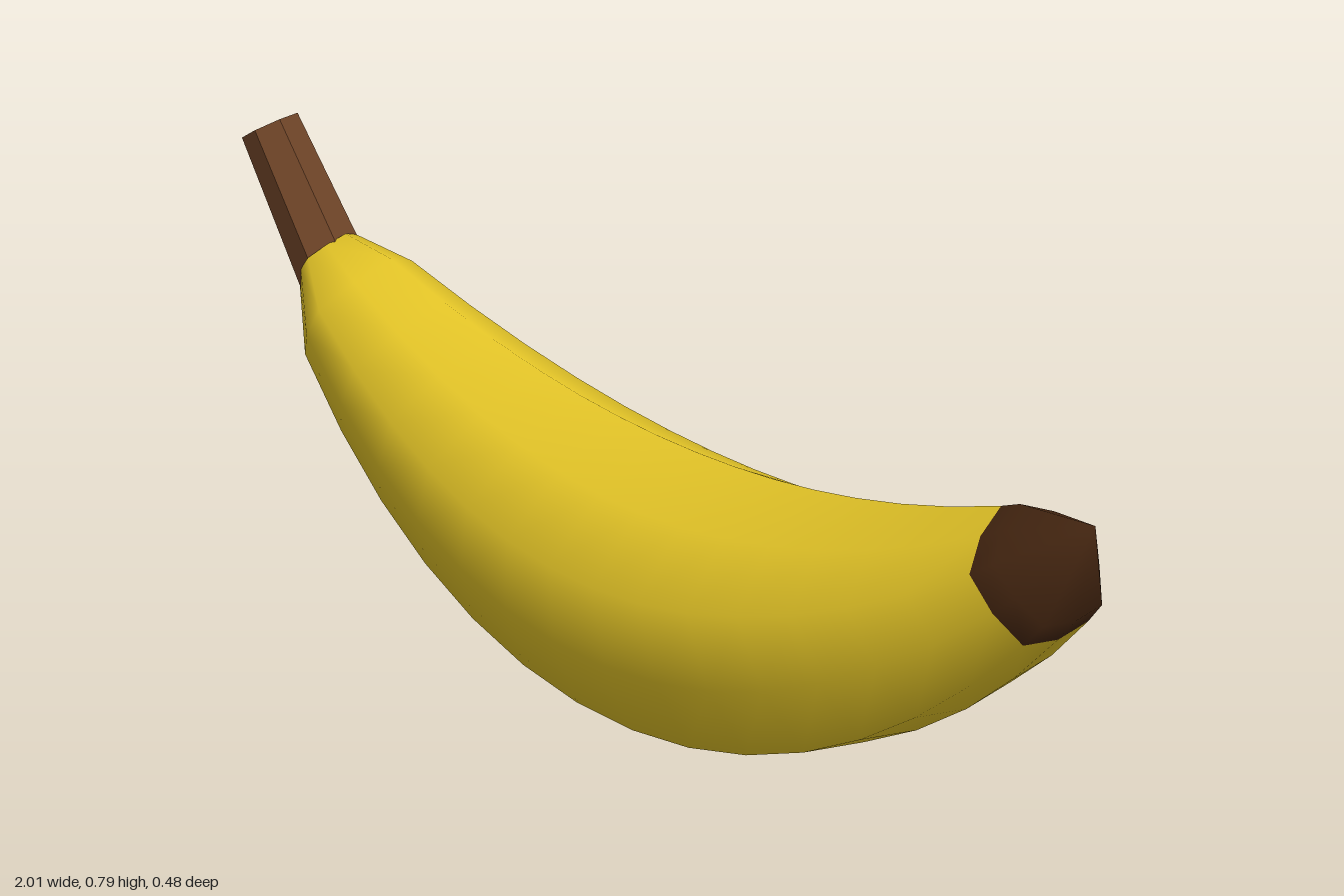
import * as THREE from 'three';

const SIDES = 10;

// Centre line: a shallow parabola, lowest at x = 0.05
const lineY = x => 0.226 + 0.428 * (x - 0.05) ** 2;
const lineSlope = x => 0.856 * (x - 0.05);
const thickness = x => 0.239 * (1 - 0.78 * (x - 0.05) ** 2);

// Sections along the fruit: [x, y, tilt, radius]
function sections() {
  const list = [[-0.828, 0.567, Math.atan(-0.8), 0.06]];
  for (let i = 0; i <= 14; i++) {
    const x = -0.75 + (i * 1.597) / 14;
    list.push([x, lineY(x), Math.atan(lineSlope(x)), thickness(x)]);
  }
  list.push([0.89, 0.53, 0.66, 0.108]); // shoulder of the dark tip
  return list;
}

// Ten-sided skin with five soft ridges; the last bands belong to the dark tip
function fruitGeometry() {
  const rings = sections();
  const pos = [];
  for (const [x, y, tilt, r] of rings) {
    for (let i = 0; i < SIDES; i++) {
      const a = (i / SIDES) * Math.PI * 2;
      const k = r * (i % 2 ? 0.945 : 1.055);
      const up = k * Math.cos(a);
      pos.push(x - up * Math.sin(tilt), y + up * Math.cos(tilt), k * Math.sin(a));
    }
  }
  const start = pos.length / 3;
  pos.push(-0.828, 0.567, 0);
  const apex = start + 1;
  pos.push(1, 0.635, 0);

  const index = [];
  const last = rings.length - 1;
  let skinCount = 0;
  for (let i = 0; i < SIDES; i++) index.push(start, (i + 1) % SIDES, i);
  for (let s = 0; s < last; s++) {
    if (s === last - 1) skinCount = index.length;
    for (let i = 0; i < SIDES; i++) {
      const j = (i + 1) % SIDES;
      const a = s * SIDES + i, c = s * SIDES + j;
      index.push(a, c, a + SIDES, c, c + SIDES, a + SIDES);
    }
  }
  for (let i = 0; i < SIDES; i++) {
    index.push(last * SIDES + i, last * SIDES + ((i + 1) % SIDES), apex);
  }

  const geo = new THREE.BufferGeometry();
  geo.setAttribute('position', new THREE.Float32BufferAttribute(pos, 3));
  geo.setIndex(index);
  geo.addGroup(0, skinCount, 0);
  geo.addGroup(skinCount, index.length - skinCount, 1);
  geo.computeVertexNormals();
  return geo;
}

export function createModel() {
  const skin = new THREE.MeshStandardMaterial({ color: 0xe3c427 });
  skin.name = 'yellowSkin';
  const dark = new THREE.MeshStandardMaterial({ color: 0x40230f });
  dark.name = 'darkTip';
  const brown = new THREE.MeshStandardMaterial({ color: 0x6b4226 });
  brown.name = 'brownStem';

  const model = new THREE.Group();
  model.name = 'banana';

  const fruit = new THREE.Mesh(fruitGeometry(), [skin, dark]);
  fruit.name = 'fruitWithTip';
  model.add(fruit);

  // Seven-sided faceted stem, its foot sunk into the fruit
  const foot = new THREE.Vector3(-0.81, 0.535, 0);
  const top = new THREE.Vector3(-0.967, 0.757, 0);
  const axis = top.clone().sub(foot);
  const stemGeo = new THREE.CylinderGeometry(0.052, 0.063, axis.length(), 7, 1, false, 0.325)
    .toNonIndexed();
  stemGeo.computeVertexNormals();
  const stem = new THREE.Mesh(stemGeo, brown);
  stem.name = 'stem';
  stem.position.copy(foot).add(top).multiplyScalar(0.5);
  stem.rotation.z = Math.atan2(-axis.x, axis.y);
  model.add(stem);

  return model;
}
